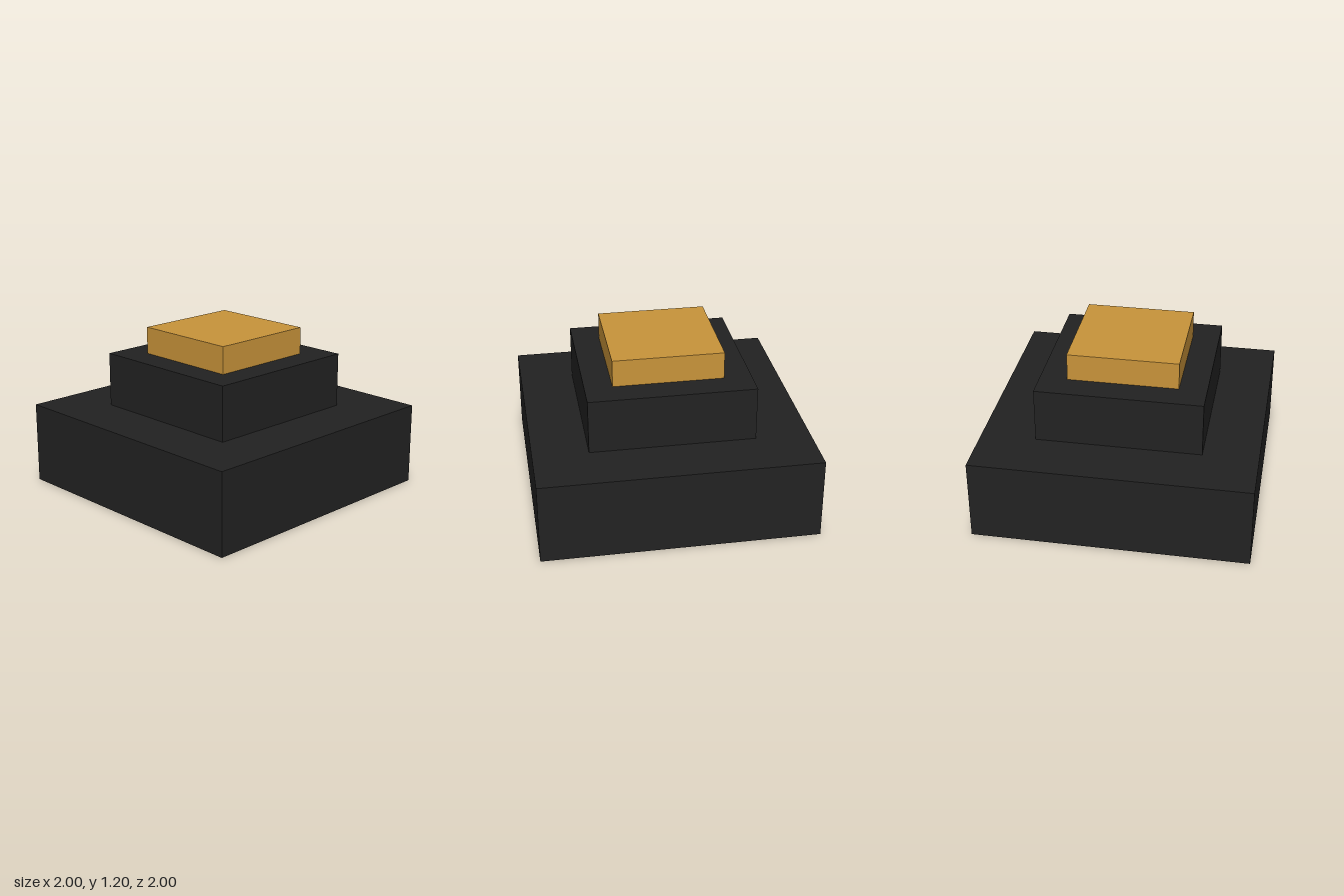
import * as THREE from 'three';

// Box without its underside, standing on height y
function openTier(name, width, height, y, material) {
  const geometry = new THREE.BoxGeometry(width, height, width);
  const index = Array.from(geometry.index.array);
  index.splice(18, 6); // drop the two triangles of the bottom face
  geometry.setIndex(index);
  geometry.clearGroups();
  const mesh = new THREE.Mesh(geometry, material);
  mesh.name = name;
  mesh.position.y = y + height / 2;
  return mesh;
}

export function createModel() {
  const charcoal = new THREE.MeshStandardMaterial({ color: 0x222222, side: THREE.DoubleSide });
  charcoal.name = 'charcoal';
  const gold = new THREE.MeshStandardMaterial({ color: 0xc9943a, side: THREE.DoubleSide });
  gold.name = 'gold';

  const model = new THREE.Group();
  model.name = 'steppedPedestal';
  // Three stacked square tiers, hollow from below
  model.add(
    openTier('baseTier', 2, 0.6, 0, charcoal),
    openTier('middleTier', 1.2, 0.4, 0.6, charcoal),
    openTier('topCap', 0.8, 0.2, 1, gold)
  );
  return model;
}
